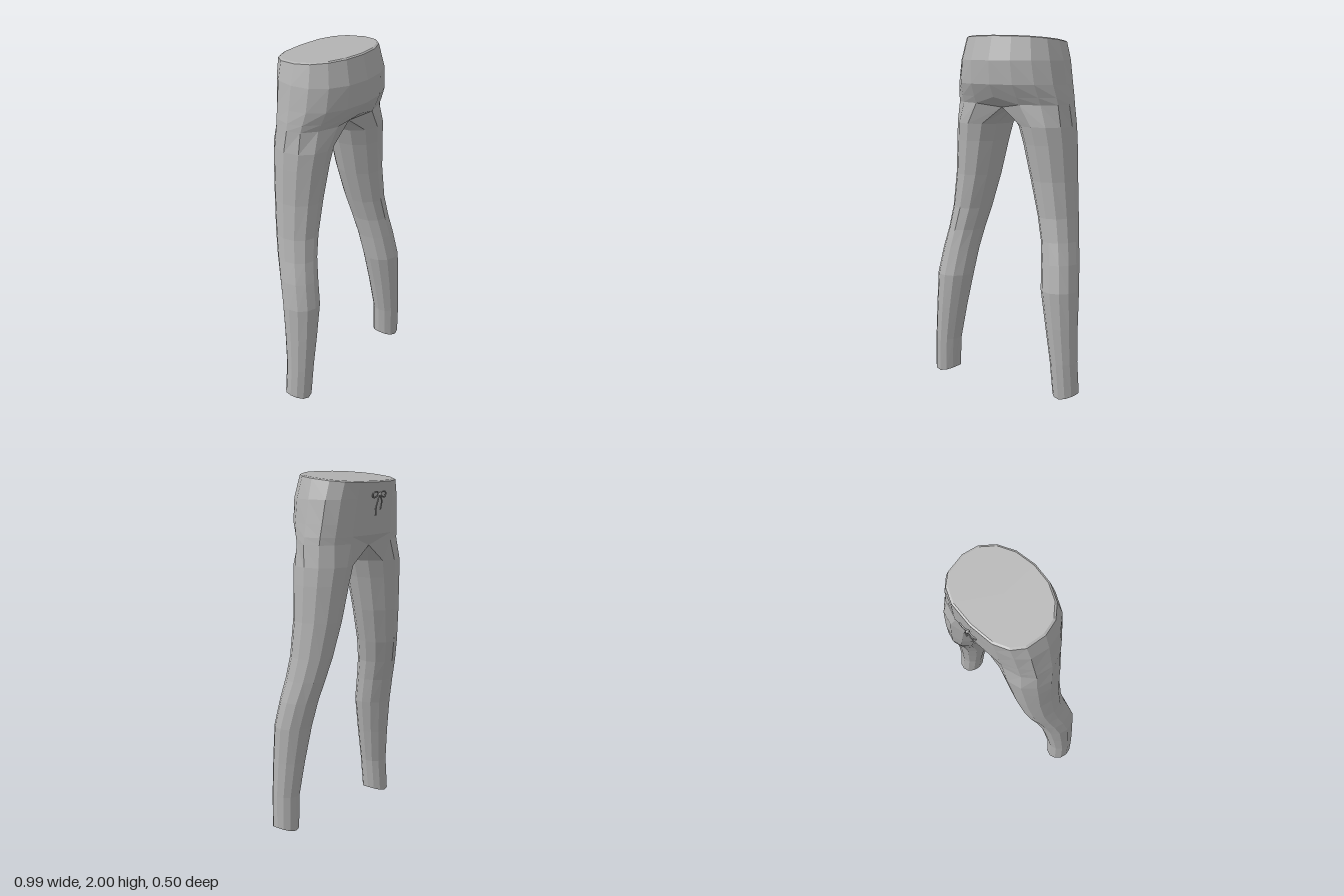
import * as THREE from 'three';

const fabric = new THREE.MeshStandardMaterial({ color: 0xb2b2b2, flatShading: true });
fabric.name = 'grey fabric';
const cord = new THREE.MeshStandardMaterial({ color: 0xa6a6a6 });
cord.name = 'grey cord';

const V = (x, y, z) => new THREE.Vector3(x, y, z);
const DEG = Math.PI / 180;

// Half of a hip section, from the drawstring side round the hip to the seat
function hipRow(y, w, zb, zf, tilt = 0) {
  return Array.from({ length: 9 }, (_, i) => {
    const t = (i - 4) * 22.5 * DEG;
    const p = t < 0 ? 0.75 : 0.95;
    const c = i % 8 ? Math.pow(Math.cos(t), p) : 0;
    const s = Math.pow(Math.abs(Math.sin(t)), p);
    const z = t < 0 ? zb * s : zf * s;
    return V(w * c, y + tilt * z, z);
  });
}

// Twelve-sided leg section given by its extents
function legRow([y, xi, xo, zb, zf]) {
  return Array.from({ length: 12 }, (_, i) => {
    const t = (i - 4) * 30 * DEG;
    const hem = y < 0.1 ? -0.02 * Math.sin(t) ** 2 : 0;
    return V((xi + xo) / 2 + (xo - xi) / 2 * Math.cos(t), y + hem,
      (zb + zf) / 2 + (zf - zb) / 2 * Math.sin(t));
  });
}

// Skin between successive rows, on one side or mirrored to the other
function loft(rows, closed, side) {
  const pos = [];
  const tri = (a, b, c) => {
    if (a.distanceTo(b) < 1e-5 || b.distanceTo(c) < 1e-5 || a.distanceTo(c) < 1e-5) return;
    for (const p of side > 0 ? [a, b, c] : [a, c, b]) pos.push(p.x * side, p.y, p.z);
  };
  for (let r = 0; r < rows.length - 1; r++) {
    const top = rows[r], low = rows[r + 1], n = top.length;
    for (let i = 0; i < (closed ? n : n - 1); i++) {
      const k = (i + 1) % n;
      tri(top[i], top[k], low[i]);
      tri(top[k], low[k], low[i]);
    }
  }
  const g = new THREE.BufferGeometry();
  g.setAttribute('position', new THREE.Float32BufferAttribute(pos, 3));
  g.computeVertexNormals();
  return g;
}

function add(parent, name, geometry, material) {
  const m = new THREE.Mesh(geometry, material);
  m.name = name;
  parent.add(m);
  return m;
}

export function createModel() {
  const model = new THREE.Group();
  model.name = 'leggings';

  // Hips, closed at the waist by a flat cap
  const waist = hipRow(1.97, 0.295, -0.225, 0.217, 0.1);
  const rim = hipRow(1.976, 0.283, -0.215, 0.207, 0.1);
  const centre = rim.map(() => V(0, 1.974, 0));
  const split = hipRow(1.62, 0.365, -0.187, 0.182);
  split[0].set(0, 1.6, -0.16);
  split[8].set(0, 1.6, 0.125);
  const hips = [
    waist,
    hipRow(1.86, 0.325, -0.215, 0.25),
    hipRow(1.73, 0.347, -0.2, 0.242),
    hipRow(1.66, 0.36, -0.192, 0.205),
    split,
  ];

  // Legs, starting from the hip edge and the crotch line
  const crotch = [V(0, 1.58, 0.07), V(0, 1.58, 0), V(0, 1.585, -0.08)];
  const legs = [
    [1.5, 0.055, 0.378, -0.18, 0.157],
    [1.4, 0.085, 0.385, -0.17, 0.145],
    [1.2, 0.135, 0.395, -0.15, 0.131],
    [1.0, 0.19, 0.413, -0.12, 0.13],
    [0.87, 0.225, 0.432, -0.09, 0.145],
    [0.75, 0.245, 0.455, -0.055, 0.168],
    [0.6, 0.262, 0.475, -0.02, 0.195],
    [0.4, 0.3, 0.48, 0.008, 0.195],
    [0.2, 0.335, 0.487, 0.03, 0.19],
    [0.02, 0.35, 0.495, 0.025, 0.182],
  ].map(legRow);
  const hem = legs[legs.length - 1];
  const sole = hem.map(() => V(0.4225, 0.01, 0.104));

  for (const side of [1, -1]) {
    const s = side > 0 ? 'left' : 'right';
    add(model, s + 'WaistCap', loft([centre, rim, waist], false, side), fabric);
    add(model, s + 'Hip', loft(hips, false, side), fabric);
    add(model, s + 'Leg', loft([[...split, ...crotch], ...legs], true, side), fabric);
    add(model, s + 'HemCap', loft([hem, sole], true, side), fabric);
  }

  // Drawstring bow: knot, two loops and two hanging ends
  const bow = new THREE.Group();
  bow.name = 'drawstringBow';
  bow.position.set(0.004, 1.882, -0.229);
  model.add(bow);
  const string = (name, points, closed) => add(bow, name, new THREE.TubeGeometry(
    new THREE.CatmullRomCurve3(points, closed), 20, 0.0045, 6, closed), cord);
  for (const s of [1, -1]) {
    const n = s > 0 ? 'left' : 'right';
    string(n + 'Loop', [V(0, 0, -0.004), V(s * 0.03, 0.015, -0.01), V(s * 0.056, 0.006, -0.006),
      V(s * 0.052, -0.016, -0.003), V(s * 0.025, -0.012, -0.006)], true);
    const end = s > 0 ? -0.115 : -0.085;
    string(n + 'End', [V(0, 0, -0.006), V(s * 0.016, -0.03, -0.008),
      V(s * 0.024, end * 0.6, -0.002), V(s * 0.022, end, 0.004)], false);
  }
  add(bow, 'knot', new THREE.SphereGeometry(0.011, 10, 8), cord).position.z = -0.006;

  return model;
}
